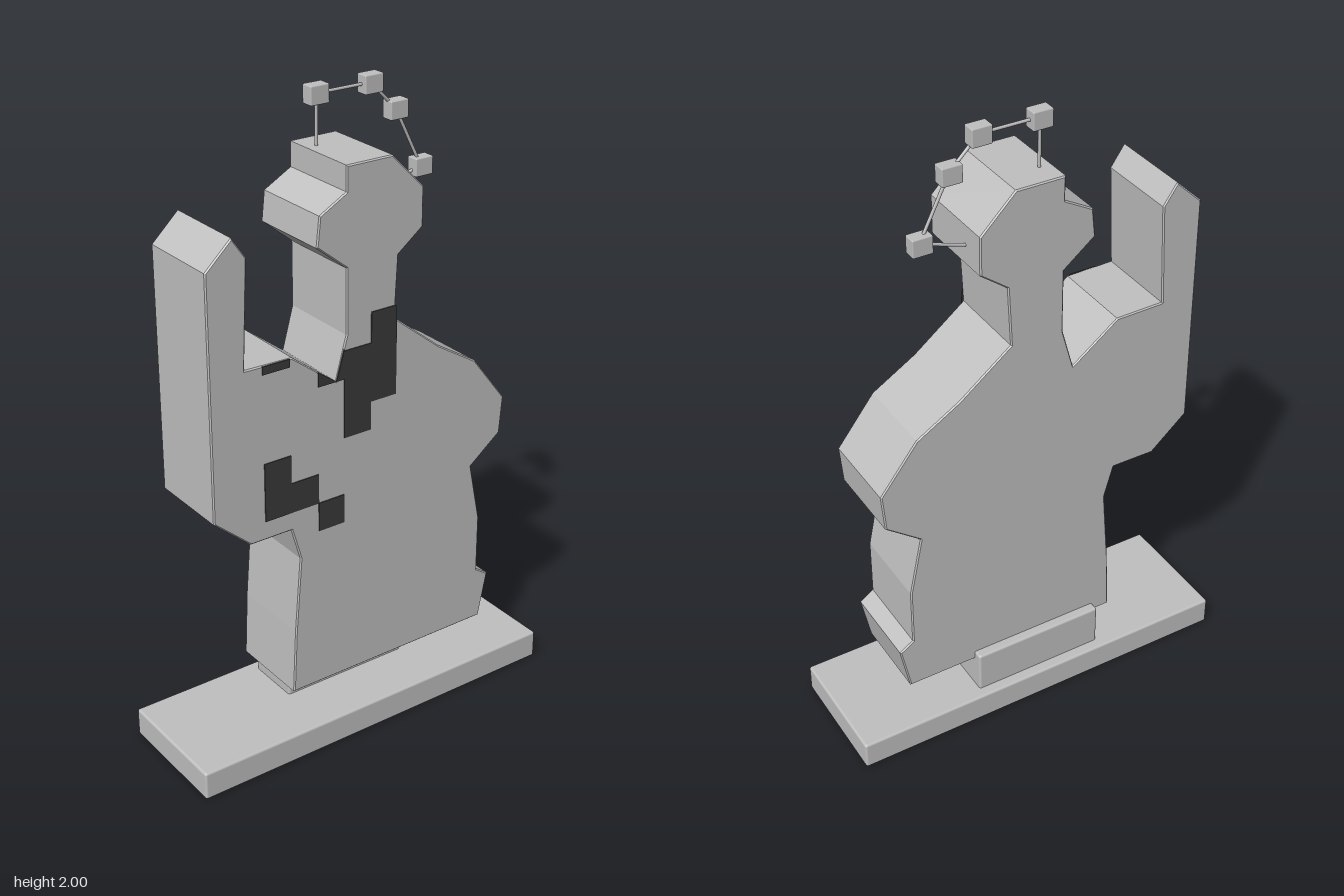
import * as THREE from 'three';
import { RoundedBoxGeometry } from 'three/addons/geometries/RoundedBoxGeometry.js';

export function createModel() {
  const group = new THREE.Group();
  const grey = new THREE.MeshStandardMaterial({ color: 0xc0c0c0 });
  grey.name = 'light grey';
  const dark = new THREE.MeshStandardMaterial({ color: 0x3a3a3a });
  dark.name = 'charcoal';

  const add = (name, geometry, material, x = 0, y = 0, z = 0) => {
    const mesh = new THREE.Mesh(geometry, material);
    mesh.name = name;
    mesh.position.set(x, y, z);
    group.add(mesh);
    return mesh;
  };
  const shape = (pts) => new THREE.Shape(pts.map(([x, y]) => new THREE.Vector2(x, y)));

  // Base slab and the block that carries the figure
  add('base', new RoundedBoxGeometry(1.28, 0.093, 0.4, 2, 0.008), grey, 0, 0.0465, 0);
  add('supportBlock', new RoundedBoxGeometry(0.436, 0.15, 0.18, 2, 0.008), grey, 0, 0.155, -0.076);

  // Flat figure with a raised arm, cut from a thick board
  const outline = [
    [-0.28, 0.2], [0.445, 0.2], [0.475, 0.35], [0.43, 0.38], [0.43, 0.57], [0.39, 0.765],
    [0.5, 0.85], [0.51, 0.97], [0.39, 1.125], [0.25, 1.21], [0.085, 1.34], [0.095, 1.53],
    [0.18, 1.595], [0.18, 1.715], [0.07, 1.825], [-0.085, 1.825], [-0.085, 1.75],
    [-0.175, 1.7], [-0.185, 1.61], [-0.085, 1.53], [-0.085, 1.33], [-0.122, 1.197],
    [-0.27, 1.31], [-0.425, 1.313], [-0.41, 1.635], [-0.455, 1.7], [-0.54, 1.62],
    [-0.54, 0.87], [-0.42, 0.765], [-0.28, 0.765], [-0.25, 0.66], [-0.27, 0.41],
  ];
  const bevel = 0.004;
  const board = new THREE.ExtrudeGeometry(shape(outline), {
    depth: 0.272 - 2 * bevel, bevelEnabled: true, bevelThickness: bevel,
    bevelSize: bevel, bevelOffset: -bevel, bevelSegments: 1,
  });
  board.translate(0, 0, -0.136 + bevel);
  add('figure', board, grey);

  // Dark stepped patches on the front, trimmed at the outline
  const patches = [
    [[0, 1.1], [0.09, 1.1], [0.09, 1.338], [0.086, 1.38], [0, 1.38]],
    [[-0.095, 1.01], [0, 1.01], [0, 1.285], [-0.095, 1.285]],
    [[-0.185, 1.197], [-0.122, 1.197], [-0.185, 1.243]],
    [[-0.122, 1.197], [-0.095, 1.197], [-0.095, 1.29]],
    [[-0.37, 1.285], [-0.28, 1.285], [-0.28, 1.31], [-0.37, 1.31]],
    [[-0.37, 0.825], [-0.28, 0.825], [-0.28, 1.01], [-0.37, 1.01]],
    [[-0.28, 0.825], [-0.185, 0.825], [-0.185, 0.92], [-0.28, 0.92]],
    [[-0.185, 0.732], [-0.095, 0.732], [-0.095, 0.825], [-0.185, 0.825]],
  ];
  for (const pts of patches) {
    const plate = new THREE.ExtrudeGeometry(shape(pts), { depth: 0.004, bevelEnabled: false });
    add('darkPatch', plate, dark, 0, 0, 0.135);
  }

  // Arc of small blocks joined by thin rods above the head
  const z = -0.056;
  const nodes = [[-0.05, 1.972], [0.135, 1.972], [0.225, 1.883], [0.318, 1.698]];
  for (const [x, y] of nodes) {
    add('haloBlock', new RoundedBoxGeometry(0.063, 0.056, 0.042, 1, 0.004), grey, x, y, z);
  }
  const path = [[-0.05, 1.81], ...nodes, [0.165, 1.648]].map(([x, y]) => new THREE.Vector3(x, y, z));
  for (let i = 0; i < path.length - 1; i++) {
    const dir = path[i + 1].clone().sub(path[i]);
    const mid = path[i].clone().add(path[i + 1]).multiplyScalar(0.5);
    const rod = add('haloRod', new THREE.CylinderGeometry(0.005, 0.005, dir.length(), 8), grey, mid.x, mid.y, mid.z);
    rod.quaternion.setFromUnitVectors(new THREE.Vector3(0, 1, 0), dir.normalize());
  }
  return group;
}
